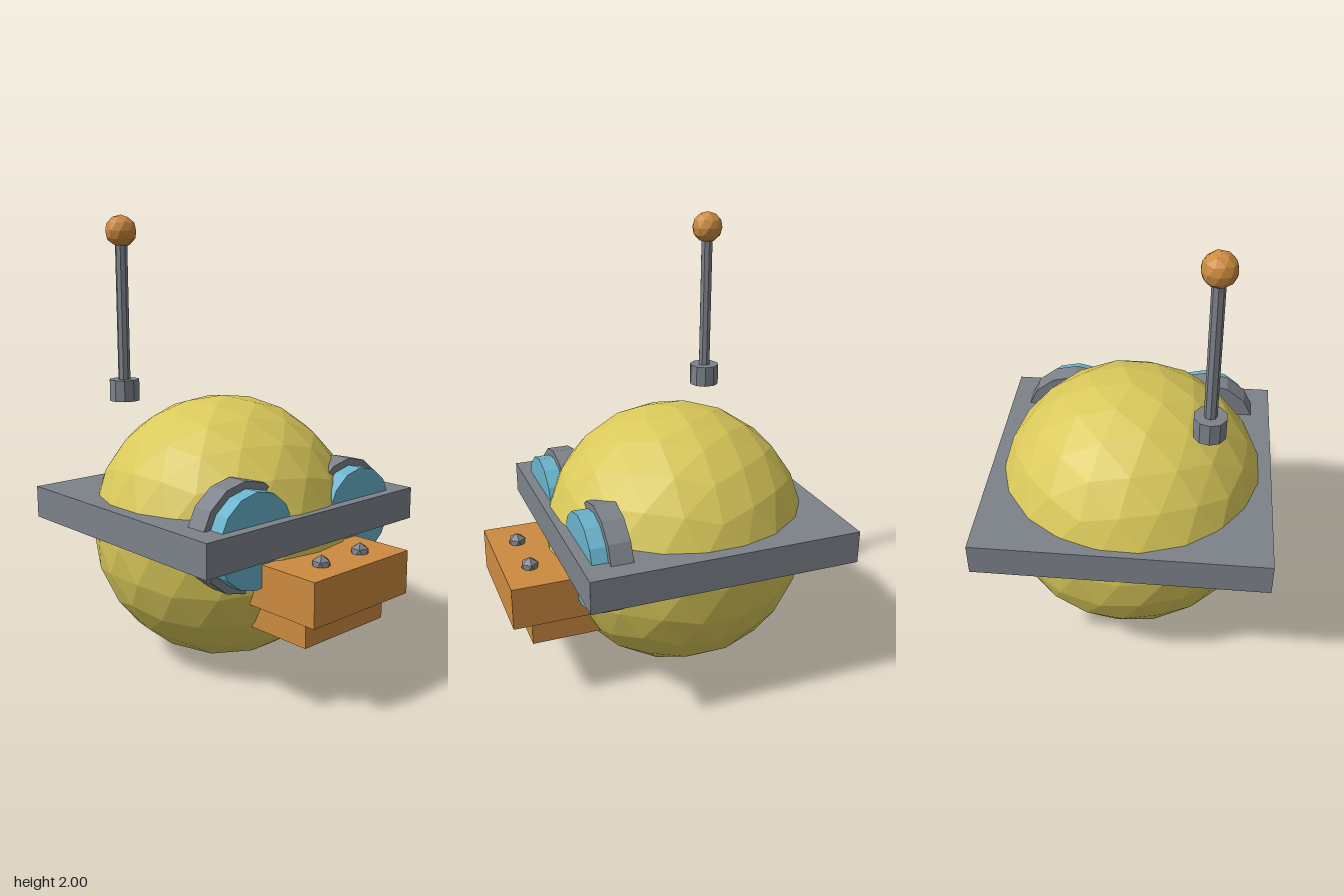
import * as THREE from 'three';

const mat = (name, color) => {
  const m = new THREE.MeshStandardMaterial({ color });
  m.name = name;
  return m;
};

// Give every face its own normal for a faceted look
function faceted(geometry) {
  const g = geometry.index ? geometry.toNonIndexed() : geometry;
  g.computeVertexNormals();
  return g;
}

// Icosphere with a vertex at each pole, halved edge by edge
function icosphere(radius, splits) {
  const h = 1 / Math.sqrt(5), r = 2 * h;
  const verts = [0, 1, 0];
  const faces = [];
  for (let ring = 0; ring < 2; ring++) {
    for (let i = 0; i < 5; i++) {
      const a = (i + ring / 2) * Math.PI * 2 / 5;
      verts.push(r * Math.cos(a), ring ? -h : h, -r * Math.sin(a));
    }
  }
  verts.push(0, -1, 0);
  for (let i = 0; i < 5; i++) {
    const n = (i + 1) % 5;
    const u = 1 + i, un = 1 + n, l = 6 + i, ln = 6 + n;
    faces.push(0, u, un, u, l, un, un, l, ln, l, 11, ln);
  }
  let g = new THREE.PolyhedronGeometry(verts, faces, radius, 0);
  for (let s = 0; s < splits; s++) {
    const p = Array.from(g.attributes.position.array);
    g = new THREE.PolyhedronGeometry(p, p.slice(0, p.length / 3).map((_, i) => i), radius, 1);
  }
  return faceted(g);
}

const box = (w, h, d) => new THREE.BoxGeometry(w, h, d);
const cylinder = (r, h, sides) => faceted(new THREE.CylinderGeometry(r, r, h, sides));
// Disc facing the front, with a corner at the top
const disc = (r, depth, sides) => cylinder(r, depth, sides).rotateX(-Math.PI / 2);

export function createModel() {
  const yellow = mat('yellow', 0xd9c85a);
  const grey = mat('grey', 0x7d828a);
  const orange = mat('orange', 0xcd8b40);
  const blue = mat('blue', 0x69b3cd);

  const model = new THREE.Group();
  const add = (name, geometry, material, x, y, z) => {
    const mesh = new THREE.Mesh(geometry, material);
    mesh.name = name;
    mesh.position.set(x, y, z);
    model.add(mesh);
  };

  // Head and the square plate around it
  add('head', icosphere(0.6, 2), yellow, 0, 0.605, -0.12);
  add('plate', box(1.25, 0.145, 1.2), grey, 0, 0.7025, -0.12);

  // Eyes and nostril studs, mirrored
  for (const [side, s] of [['left', 1], ['right', -1]]) {
    add(side + 'EyeRim', disc(0.237, 0.097, 14), grey, s * 0.315, 0.705, 0.3165);
    add(side + 'EyeLens', disc(0.205, 0.08, 14), blue, s * 0.315, 0.705, 0.394);
    add(side + 'Stud', icosphere(0.043, 0), grey, s * 0.12, 0.605, 0.6);
  }

  // Beak, upper and lower
  add('upperBeak', box(0.58, 0.19, 0.52), orange, 0, 0.508, 0.46);
  add('lowerBeak', box(0.48, 0.123, 0.43), orange, 0, 0.3515, 0.415);

  // Antenna
  const ax = -0.338, az = -0.408;
  add('antennaBase', cylinder(0.069, 0.095, 10), grey, ax, 1.2325, az);
  add('antennaRod', cylinder(0.027, 0.63, 8), grey, ax, 1.575, az);
  add('antennaBall', icosphere(0.07, 1), orange, ax, 1.93, az);

  return model;
}
